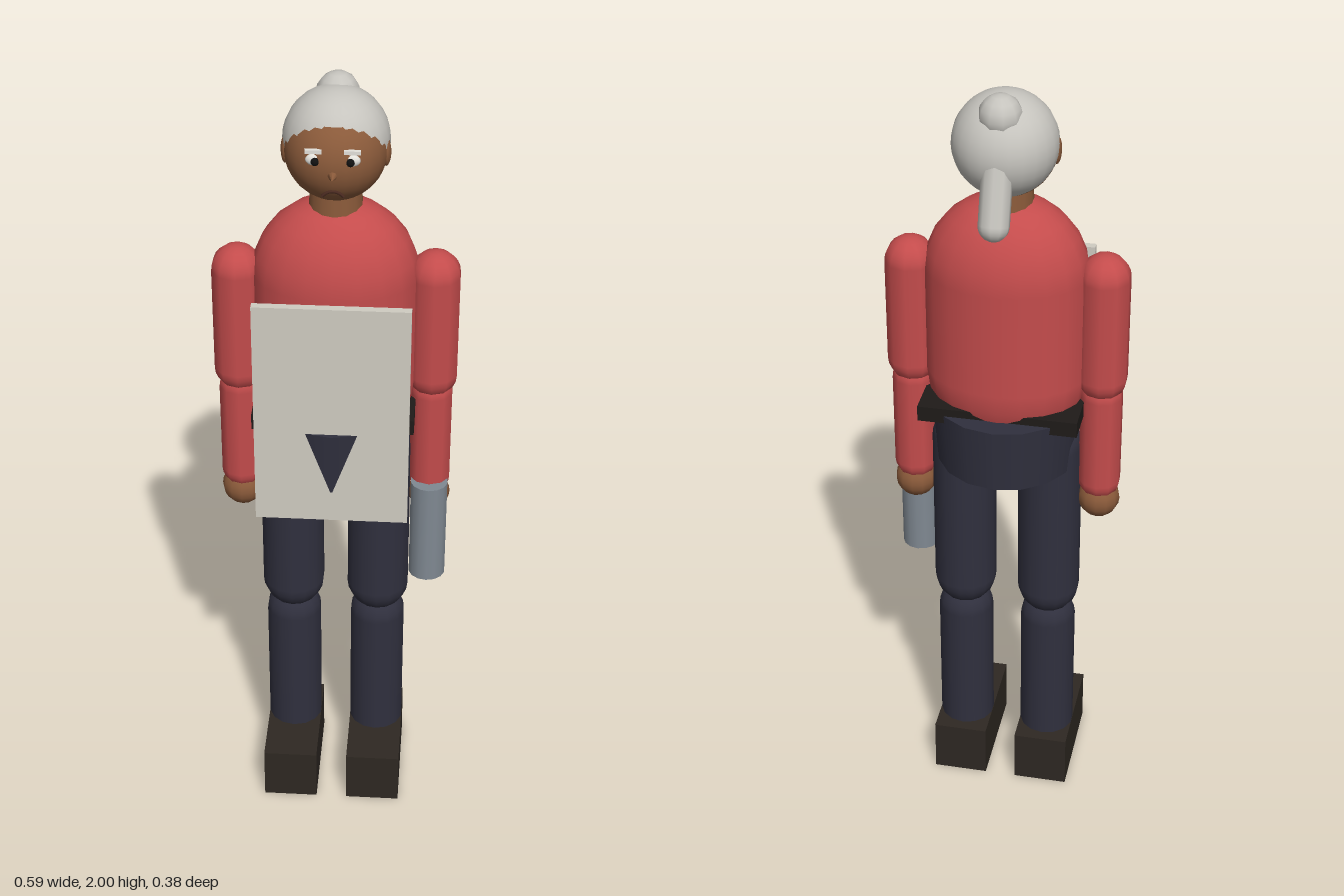
import * as THREE from 'three';

const COLORS = {
  red: 0xc44c4c, skin: 0x8a5a3a, navy: 0x30303e, shoe: 0x2e2822, belt: 0x1f1b19,
  hair: 0xc6c4be, board: 0xd0ccc2, metal: 0x808992, black: 0x111111, white: 0xe4e2dc, lip: 0x4a2a20,
};
const materials = {};
for (const key in COLORS) materials[key] = new THREE.MeshStandardMaterial({ color: COLORS[key] });

function add(group, name, geometry, color, x, y, z) {
  const mesh = new THREE.Mesh(geometry, materials[color]);
  mesh.name = name;
  mesh.position.set(x, y, z);
  group.add(mesh);
  return mesh;
}

// Upright capsule, centred, with a corner on the z axis
function capsule(radius, bottom, top, sides) {
  return new THREE.CapsuleGeometry(radius, top - bottom - 2 * radius, 6, sides).rotateY(Math.PI / 2);
}

function limb(group, name, radius, bottom, top, sides, color, x) {
  return add(group, name, capsule(radius, bottom, top, sides), color, x, (bottom + top) / 2, 0);
}

function buildHead() {
  const head = new THREE.Group();
  head.name = 'head';
  add(head, 'neck', new THREE.CylinderGeometry(0.06, 0.065, 0.08, 14), 'skin', 0, 1.725, 0);
  add(head, 'face', new THREE.SphereGeometry(0.12, 24, 18), 'skin', 0, 1.845, 0);
  add(head, 'hairCap', new THREE.SphereGeometry(0.125, 24, 18), 'hair', 0, 1.86, -0.02);
  add(head, 'hairBun', new THREE.SphereGeometry(0.052, 10, 8), 'hair', 0, 1.948, -0.073);

  // Ponytail slanting down and back
  const tail = add(head, 'ponytail', capsule(0.037, 0, 0.22, 10), 'hair', 0, 1.782, -0.13);
  tail.rotation.x = 0.33;

  const nose = add(head, 'nose', new THREE.ConeGeometry(0.013, 0.034, 8), 'skin', 0, 1.832, 0.129);
  nose.rotation.x = Math.PI / 2;

  const mouth = add(head, 'mouth', new THREE.TorusGeometry(0.03, 0.004, 6, 12, Math.PI * 0.6), 'lip', 0, 1.757, 0.106);
  mouth.rotation.z = Math.PI * 0.2;

  for (const side of [-1, 1]) {
    const ear = add(head, 'ear', new THREE.SphereGeometry(0.022, 10, 8), 'skin', side * 0.116, 1.84, 0.003);
    ear.scale.set(0.5, 1.55, 1);
    const white = add(head, 'eyeWhite', new THREE.SphereGeometry(0.018, 12, 8), 'white', side * 0.043, 1.865, 0.104);
    white.scale.set(1.1, 0.8, 0.5);
    add(head, 'pupil', new THREE.SphereGeometry(0.01, 10, 8), 'black', side * 0.04, 1.863, 0.111);
    add(head, 'eyebrow', new THREE.BoxGeometry(0.038, 0.009, 0.01), 'white', side * 0.044, 1.887, 0.108);
  }
  return head;
}

export function createModel() {
  const model = new THREE.Group();
  model.name = 'figure';
  model.add(buildHead());

  // Torso is a capsule flattened front to back
  const torso = limb(model, 'torso', 0.2, 1.05, 1.72, 20, 'red', 0);
  torso.scale.z = 0.74;
  add(model, 'belt', new THREE.BoxGeometry(0.394, 0.04, 0.262), 'belt', 0, 1.17, 0);
  add(model, 'hips', new THREE.CylinderGeometry(0.186, 0.174, 0.17, 16), 'navy', 0, 1.085, 0);

  for (const side of [-1, 1]) {
    // Arms
    const armX = side * 0.236;
    limb(model, 'upperArm', 0.063, 1.19, 1.585, 10, 'red', armX);
    limb(model, 'forearm', 0.053, 0.9, 1.25, 10, 'red', armX);
    add(model, 'hand', new THREE.SphereGeometry(0.053, 12, 10), 'skin', armX, 0.897, 0);
    // Legs
    const legX = side * 0.11;
    limb(model, 'thigh', 0.08, 0.528, 1.12, 14, 'navy', legX);
    limb(model, 'shin', 0.071, 0.07, 0.577, 14, 'navy', legX);
    add(model, 'shoe', new THREE.BoxGeometry(0.14, 0.144, 0.29), 'shoe', legX, 0.072, 0.046);
  }

  // Things carried: flat board in front, rod in the left hand
  add(model, 'board', new THREE.BoxGeometry(0.374, 0.6, 0.02), 'board', 0, 1.217, 0.1635);
  add(model, 'rod', new THREE.CylinderGeometry(0.047, 0.047, 0.28, 14), 'metal', 0.237, 0.81, 0.035);
  return model;
}
